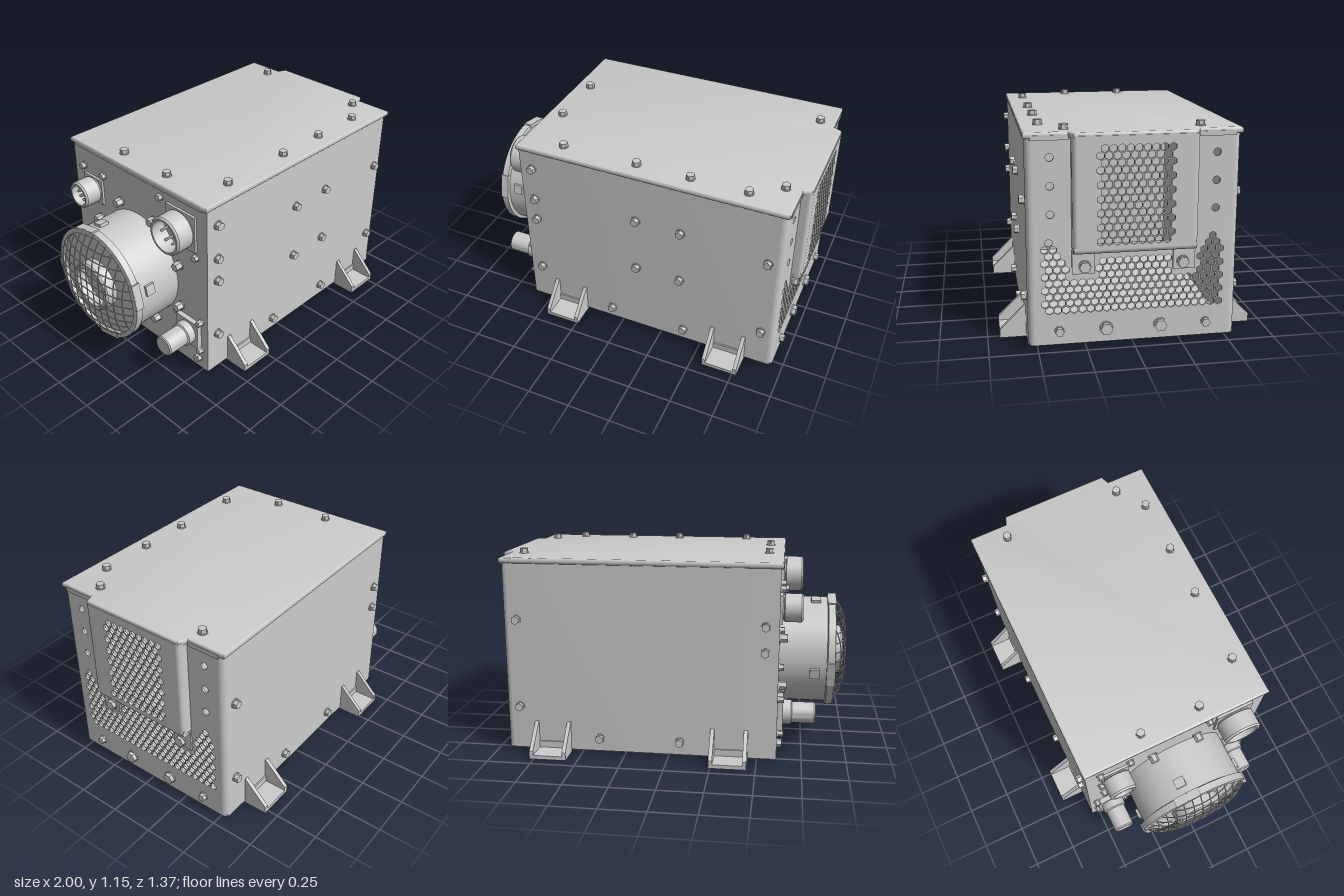
import * as THREE from 'three';
import { toCreasedNormals } from 'three/addons/utils/BufferGeometryUtils.js';

const smooth = new THREE.MeshStandardMaterial({ color: 0xcccccc, side: THREE.DoubleSide });
const flat = new THREE.MeshStandardMaterial({ color: 0xcccccc, flatShading: true });
const UP = new THREE.Vector3(0, 1, 0);
const V = (x, y, z) => new THREE.Vector3(x, y, z);
const LEFT_END = -0.61, RIGHT_END = 0.94, HALF_Z = 0.547;

function add(parent, name, geometry, material = smooth) {
  const mesh = new THREE.Mesh(geometry, material);
  mesh.name = name;
  parent.add(mesh);
  return mesh;
}

// Box given by its extents
function box(parent, name, x0, x1, y0, y1, z0, z1) {
  const m = add(parent, name, new THREE.BoxGeometry(x1 - x0, y1 - y0, z1 - z0), flat);
  m.position.set((x0 + x1) / 2, (y0 + y1) / 2, (z0 + z1) / 2);
  return m;
}

// Hex bolt on a washer, pointing along dir
function bolt(parent, pos, dir, r = 0.024, h = 0.028) {
  const g = new THREE.Group();
  g.name = 'bolt';
  add(g, 'washer', new THREE.CylinderGeometry(r * 1.1, r * 1.1, 0.006, 16)).position.y = 0.003;
  add(g, 'hexHead', new THREE.CylinderGeometry(r, r, h, 6), flat).position.y = h / 2;
  g.position.copy(pos);
  g.quaternion.setFromUnitVectors(UP, dir);
  parent.add(g);
}

// Turned part growing out of the left end; profile is [radius, distance]
function turned(parent, name, profile, y, z, segments = 40) {
  const geo = new THREE.LatheGeometry(profile.map(p => new THREE.Vector2(...p)), segments);
  const m = add(parent, name, toCreasedNormals(geo, 0.6));
  m.quaternion.setFromUnitVectors(UP, V(-1, 0, 0));
  m.position.set(LEFT_END, y, z);
  return m;
}

function polygon(points) {
  return new THREE.Shape(points.map(p => new THREE.Vector2(...p)));
}

function ngonHole(cx, cy, r, n) {
  const h = new THREE.Path();
  for (let i = 0; i < n; i++) {
    const a = Math.PI / 2 + i / n * Math.PI * 2;
    h[i ? 'lineTo' : 'moveTo'](cx + r * Math.cos(a), cy + r * Math.sin(a));
  }
  h.closePath();
  return h;
}

// Honeycomb of hexagonal holes, kept where the test allows
function honeycomb(shape, y0, rows, keep) {
  for (let j = 0; j < rows; j++) for (let i = -12; i <= 12; i++) {
    const u = (i + (j % 2 ? 0.25 : -0.25)) * 0.0425, y = y0 + j * 0.0363;
    if (keep(u, y)) shape.holes.push(ngonHole(u, y, 0.0205, 6));
  }
}

// Sheet facing +x, starting at x
function endSheet(parent, name, shape, x, depth) {
  const m = add(parent, name, new THREE.ExtrudeGeometry(shape, { depth, bevelEnabled: false }), flat);
  m.rotation.y = Math.PI / 2;
  m.position.x = x;
  return m;
}

function buildHousing(g) {
  // Wrap-around wall, open on the right end, with rounded end corners
  const r = 0.035, t = 0.012, e = RIGHT_END, w = HALF_Z, s = new THREE.Shape();
  s.moveTo(LEFT_END, -w);
  s.lineTo(e - r, -w);
  s.absarc(e - r, -w + r, r, -Math.PI / 2, 0, false);
  s.lineTo(e - t, -w + r);
  s.absarc(e - r, -w + r, r - t, 0, -Math.PI / 2, true);
  s.lineTo(LEFT_END + t, -w + t);
  s.lineTo(LEFT_END + t, w - t);
  s.lineTo(e - r, w - t);
  s.absarc(e - r, w - r, r - t, Math.PI / 2, 0, true);
  s.lineTo(e, w - r);
  s.absarc(e - r, w - r, r, 0, Math.PI / 2, false);
  s.lineTo(LEFT_END, w);
  s.closePath();
  const wrap = new THREE.ExtrudeGeometry(s, { depth: 1.09, bevelEnabled: false, curveSegments: 8 });
  const wall = add(g, 'housingWall', toCreasedNormals(wrap, 0.6));
  wall.rotation.x = -Math.PI / 2;
  wall.position.y = 0.015;
  box(g, 'floor', LEFT_END, e - 0.01, 0.015, 0.027, -w + 0.005, w - 0.005);

  // Lid with a tongue over the intake cover
  const lid = polygon([[-0.615, -0.545], [0.935, -0.545], [0.935, -0.325], [0.985, -0.305],
    [0.985, 0.305], [0.935, 0.325], [0.935, 0.545], [-0.615, 0.545]]);
  const lidGeo = new THREE.ExtrudeGeometry(lid, { depth: 0.012, bevelSize: 0.01, bevelThickness: 0.01, bevelSegments: 3 });
  const lidMesh = add(g, 'lid', toCreasedNormals(lidGeo, 0.6));
  lidMesh.rotation.x = -Math.PI / 2;
  lidMesh.position.y = 1.103;
  box(g, 'lidLipLeft', -0.622, LEFT_END, 1.085, 1.11, -0.52, 0.52);
  for (const k of [-1, 1]) box(g, 'lidLipRight', e, e + 0.008, 1.085, 1.11, k * 0.425 - 0.095, k * 0.425 + 0.095);

  // Perforated right end with an opening behind the cover
  const end = polygon([[-0.512, 0.015], [0.512, 0.015], [0.512, 1.105], [0.27, 1.105],
    [0.27, 0.54], [-0.27, 0.54], [-0.27, 1.105], [-0.512, 1.105]]);
  honeycomb(end, 0.2, 11, (u, y) => {
    const a = Math.abs(u);
    if (a > 0.475) return false;
    if (y < 0.36) return true;
    if (a < 0.195) return y < 0.47;
    return a > 0.335 && y < 0.585 - Math.abs(a - 0.425) * 1.4;
  });
  for (const k of [-1, 1]) for (const y of [0.71, 0.855, 1]) end.holes.push(ngonHole(k * 0.425, y, 0.02, 16));
  endSheet(g, 'perforatedEnd', end, e - 0.012, 0.012);
}

// Raised perforated cover with rounded side bends and fixing tabs
function buildIntakeCover(g) {
  const face = polygon([[-0.295, 0.535], [0.295, 0.535], [0.295, 1.11], [-0.295, 1.11]]);
  honeycomb(face, 0.575, 14, u => Math.abs(u) < 0.185);
  endSheet(g, 'coverFace', face, 0.988, 0.012);
  for (const k of [-1, 1]) {
    const bend = add(g, 'coverSideBend', new THREE.CylinderGeometry(0.025, 0.025, 0.575, 16));
    bend.position.set(0.975, 0.8225, k * 0.295);
    box(g, 'coverSide', RIGHT_END, 0.975, 0.535, 1.11, k * 0.314 - 0.006, k * 0.314 + 0.006);
    box(g, 'coverTab', RIGHT_END, 0.95, 0.395, 0.525, k * 0.262 - 0.058, k * 0.262 + 0.058);
    bolt(g, V(0.95, 0.435, k * 0.255), V(1, 0, 0), 0.03, 0.025);
  }
  const sill = add(g, 'coverLowerBend', new THREE.CylinderGeometry(0.025, 0.025, 0.63, 16));
  sill.rotation.x = Math.PI / 2;
  sill.position.set(0.975, 0.535, 0);
  box(g, 'coverSill', RIGHT_END, 0.975, 0.51, 0.52, -0.315, 0.315);
}

// Gusseted bracket feet, mirrored front and back
function buildFeet(g) {
  const gusset = polygon([[0.54, 0], [0.685, 0], [0.685, 0.045], [0.55, 0.18], [0.54, 0.18]]);
  const gussetGeo = new THREE.ExtrudeGeometry(gusset, { depth: 0.022, bevelEnabled: false });
  for (const x of [-0.345, 0.67]) for (const k of [-1, 1]) {
    const foot = new THREE.Group();
    foot.name = 'foot';
    for (const sx of [-0.105, 0.083]) {
      const m = add(foot, 'footGusset', gussetGeo, flat);
      m.rotation.y = -Math.PI / 2;
      m.position.x = sx + 0.022;
    }
    box(foot, 'footPlate', -0.1, 0.1, 0, 0.022, 0.54, 0.685);
    box(foot, 'footBackPlate', -0.1, 0.1, 0.01, 0.06, 0.54, 0.555);
    foot.position.x = x;
    foot.rotation.y = k < 0 ? Math.PI : 0;
    g.add(foot);
  }
}

function buildFan(g) {
  const cy = 0.525;
  turned(g, 'fanDuct', [[0.315, 0], [0.315, 0.27], [0.335, 0.275], [0.335, 0.315], [0.308, 0.318],
    [0.308, 0.295], [0.145, 0.295], [0.145, 0.355], [0.135, 0.365], [0.115, 0.365], [0.115, 0.3], [0, 0.3]], cy, 0, 64);
  // Domed wire guard
  const wire = (c, upright) => {
    const pts = [], half = Math.sqrt(0.315 ** 2 - c * c);
    for (let i = 0; i <= 10; i++) {
      const t = half * (i / 5 - 1), q = (c * c + t * t) / 0.315 ** 2;
      pts.push(V(-0.925 - 0.071 * (1 - q * q), cy + (upright ? t : c), upright ? c : t));
    }
    add(g, 'guardWire', new THREE.TubeGeometry(new THREE.CatmullRomCurve3(pts), 16, 0.0035, 5));
  };
  for (let i = -5; i <= 5; i++) { wire(i * 0.052, true); wire(i * 0.052, false); }
  // Rim clips, duct studs and mounting bolts
  for (let i = 0; i < 4; i++) {
    const a = Math.PI * (0.07 + i / 2), holder = new THREE.Group();
    box(holder, 'rimClip', -0.93, -0.88, -0.075, 0.075, 0.3, 0.334);
    box(holder, 'ductStud', -0.84, -0.785, -0.03, 0.03, 0.3, 0.33);
    holder.name = 'fanClip';
    holder.position.y = cy;
    holder.rotation.x = -a;
    g.add(holder);
  }
  for (let i = 0; i < 8; i++) {
    const a = (i + 0.5) * Math.PI / 4;
    bolt(g, V(LEFT_END, cy + 0.365 * Math.sin(a), 0.365 * Math.cos(a)), V(-1, 0, 0), 0.025, 0.045);
  }
}

// Round sockets with contact pins, and plain cable stubs on square flanges
function buildConnectors(g) {
  for (const [y, z, r, h, pins] of [[0.92, 0.36, 0.11, 0.13, 6], [0.85, -0.375, 0.08, 0.125, 8]]) {
    turned(g, 'socket', [[r * 0.9, 0], [r * 0.9, 0.02], [r, 0.025], [r, h - 0.01], [r - 0.008, h],
      [r - 0.02, h], [r - 0.02, 0.035], [0, 0.035]], y, z);
    for (let i = 0; i < pins; i++) {
      const a = i / pins * Math.PI * 2;
      turned(g, 'contactPin', [[0.008, 0.03], [0.008, h * 0.75], [0, h * 0.8]],
        y + r * 0.5 * Math.sin(a), z + r * 0.5 * Math.cos(a), 8);
    }
    box(g, 'socketFlange', LEFT_END - 0.014, LEFT_END, y - r, y + r, z - r, z + r);
  }
  for (const z of [-0.415, 0.41]) {
    turned(g, 'cableStub', [[0.07, 0], [0.07, 0.075], [0.06, 0.08], [0.06, 0.203], [0.054, 0.21], [0, 0.21]], 0.255, z);
    box(g, 'stubFlange', LEFT_END - 0.03, LEFT_END, 0.17, 0.34, z - 0.085, z + 0.085);
    for (const dy of [-0.1, 0.1]) for (const dz of [-0.09, 0.09])
      bolt(g, V(LEFT_END, 0.255 + dy, z + dz), V(-1, 0, 0), 0.018, 0.035);
  }
  for (const z of [-0.48, -0.25, 0.25, 0.48]) bolt(g, V(LEFT_END, 0.09, z), V(-1, 0, 0));
  for (const [y, z] of [[0.97, -0.46], [0.97, -0.28], [0.74, -0.46], [1.04, 0.2], [0.78, 0.47], [0.525, -0.45]])
    bolt(g, V(LEFT_END, y, z), V(-1, 0, 0), 0.02);
}

function buildFasteners(g) {
  const shared = [[-0.535, 0.775], [-0.535, 0.63], [0.86, 0.775], [0.86, 0.265], [-0.065, 0.09], [0.395, 0.09]];
  const front = [[-0.535, 0.985], [-0.535, 0.26], [0.1, 0.815], [0.365, 0.815], [0.1, 0.475], [0.365, 0.475]];
  for (const [x, y] of [...shared, ...front]) bolt(g, V(x, y, HALF_Z), V(0, 0, 1));
  for (const [x, y] of shared) bolt(g, V(x, y, -HALF_Z), V(0, 0, -1));
  for (const [x, z] of [[-0.535, -0.18], [-0.535, 0.17], [-0.37, 0.46], [0.07, 0.46], [0.38, 0.46],
    [0.7, 0.46], [0.86, -0.355], [0.86, 0.345]]) bolt(g, V(x, 1.124, z), UP);
  for (const k of [-1, 1]) {
    bolt(g, V(RIGHT_END, 0.09, k * 0.143), V(1, 0, 0), 0.033, 0.028);
    bolt(g, V(RIGHT_END, 0.09, k * 0.387), V(1, 0, 0), 0.023, 0.026);
  }
}

export function createModel() {
  const model = new THREE.Group();
  model.name = 'powerUnit';
  const parts = { housing: buildHousing, intakeCover: buildIntakeCover, feet: buildFeet, fan: buildFan,
    connectors: buildConnectors, fasteners: buildFasteners };
  for (const [name, build] of Object.entries(parts)) {
    const g = new THREE.Group();
    g.name = name;
    build(g);
    model.add(g);
  }
  return model;
}
